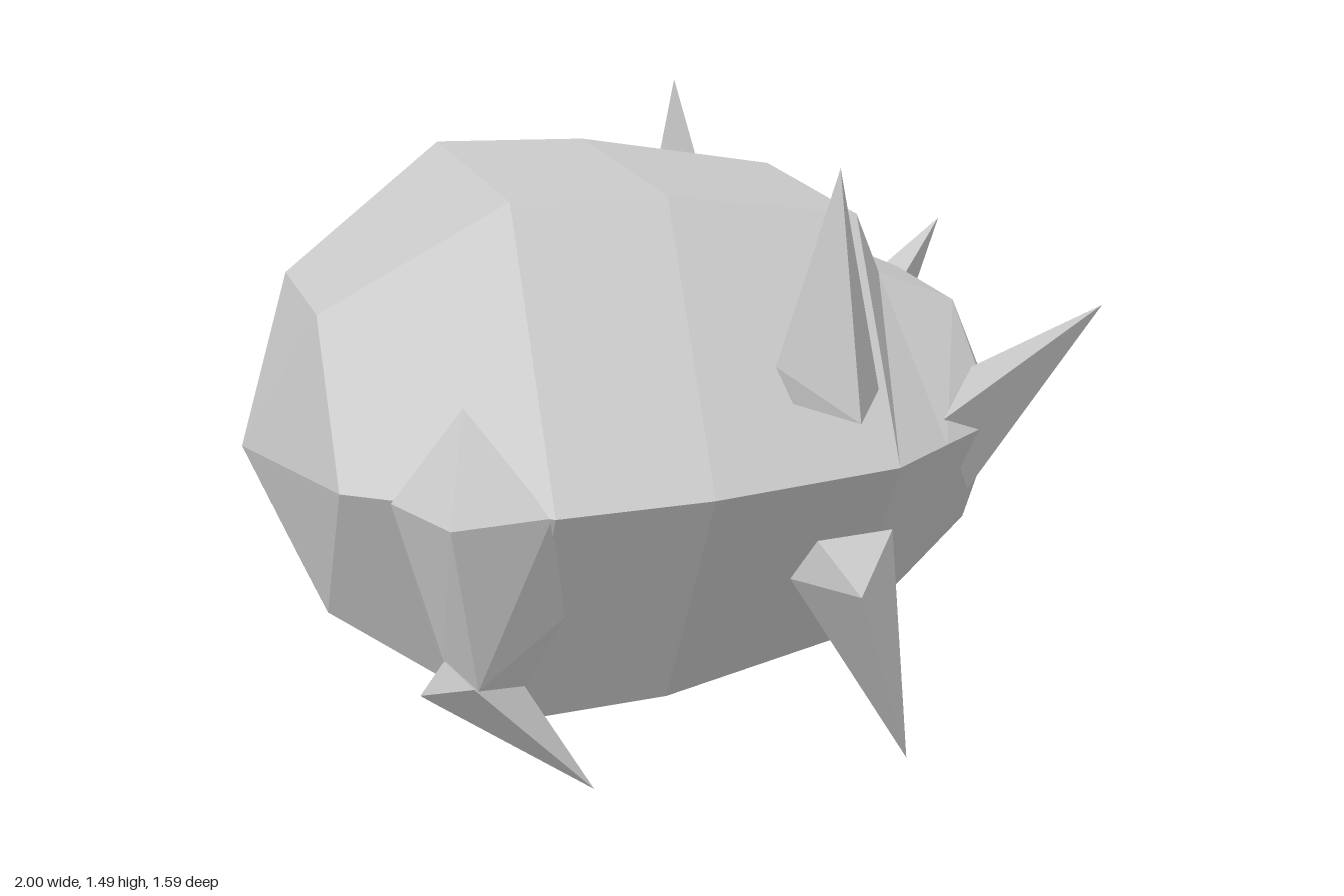
import * as THREE from 'three';
import { ConvexGeometry } from 'three/addons/geometries/ConvexGeometry.js';

const MID = 0.775; // height of the body's widest line

// Each ring: top, middle and bottom point of one side, mirrored to a hexagon
const regular = (x, r) => [
  [x, MID + r * 0.866, r / 2], [x, MID, r], [x, MID - r * 0.866, r / 2],
];

function bodyGeometry() {
  const rings = [
    regular(-1, 0),
    regular(-0.845, 0.421),
    regular(-0.425, 0.731),
    regular(-0.05, 0.716),
    regular(0.435, 0.62),
    [[0.535, 1.14, 0.215], [0.61, MID, 0.49], [0.6, 0.34, 0.25]], // neck
    [[0.75, 1.045, 0.18], [0.8, MID, 0.353], [0.8, 0.47, 0.178]], // face
    regular(0.925, 0),
  ].map(([t, m, b]) => {
    const flip = ([x, y, z]) => [x, y, -z];
    return [m, t, flip(t), flip(m), flip(b), b];
  });
  const pos = [];
  for (let i = 0; i < rings.length - 1; i++) {
    for (let k = 0; k < 6; k++) {
      const n = (k + 1) % 6;
      const a = rings[i][k], b = rings[i + 1][k];
      const c = rings[i + 1][n], d = rings[i][n];
      if (i < rings.length - 2) pos.push(...a, ...b, ...c);
      else pos.push(...a, ...b, ...d);
      if (i > 0 && i < rings.length - 2) pos.push(...a, ...c, ...d);
    }
  }
  const g = new THREE.BufferGeometry();
  g.setAttribute('position', new THREE.Float32BufferAttribute(pos, 3));
  g.computeVertexNormals();
  return g;
}

// Corner points on the +z side, tip first
const limbs = {
  backSpike: [
    [0.275, 1.49, 0.605], [0.275, 0.94, 0.765], [0.415, 0.94, 0.525],
    [0.165, 0.94, 0.535], [0.155, 1.02, 0.535],
  ],
  frontLeg: [
    [0.505, 0, 0.55], [0.3, 0.51, 0.735], [0.245, 0.605, 0.59],
    [0.465, 0.585, 0.515], [0.205, 0.49, 0.52],
  ],
  horn: [
    [1, 1.09, 0.49], [0.62, 0.825, 0.445], [0.76, 0.9, 0.285], [0.745, 0.595, 0.32],
  ],
  hindThigh: [
    [-0.58, 0.985, 0.525], [-0.745, 0.77, 0.505], [-0.675, 0.795, 0.795],
    [-0.43, 0.775, 0.72], [-0.37, 0.49, 0.6], [-0.6, 0.38, 0.705],
    [-0.66, 0.43, 0.62], [-0.46, 0.32, 0.57],
  ],
  hindClaw: [
    [-0.305, 0.055, 0.605], [-0.66, 0.43, 0.63], [-0.61, 0.385, 0.705],
    [-0.71, 0.34, 0.6], [-0.685, 0.31, 0.56], [-0.46, 0.32, 0.55],
  ],
};

export function createModel() {
  const model = new THREE.Group();
  const material = new THREE.MeshStandardMaterial({ color: 0xcccccc, flatShading: true });
  const add = (name, geometry) => {
    const mesh = new THREE.Mesh(geometry, material);
    mesh.name = name;
    model.add(mesh);
  };

  add('body', bodyGeometry());

  // Spikes, legs and horns on both sides
  for (const [name, points] of Object.entries(limbs)) {
    for (const side of [1, -1]) {
      const corners = points.map(([x, y, z]) => new THREE.Vector3(x, y, z * side));
      add(name + (side > 0 ? 'Front' : 'Back'), new ConvexGeometry(corners));
    }
  }
  return model;
}
